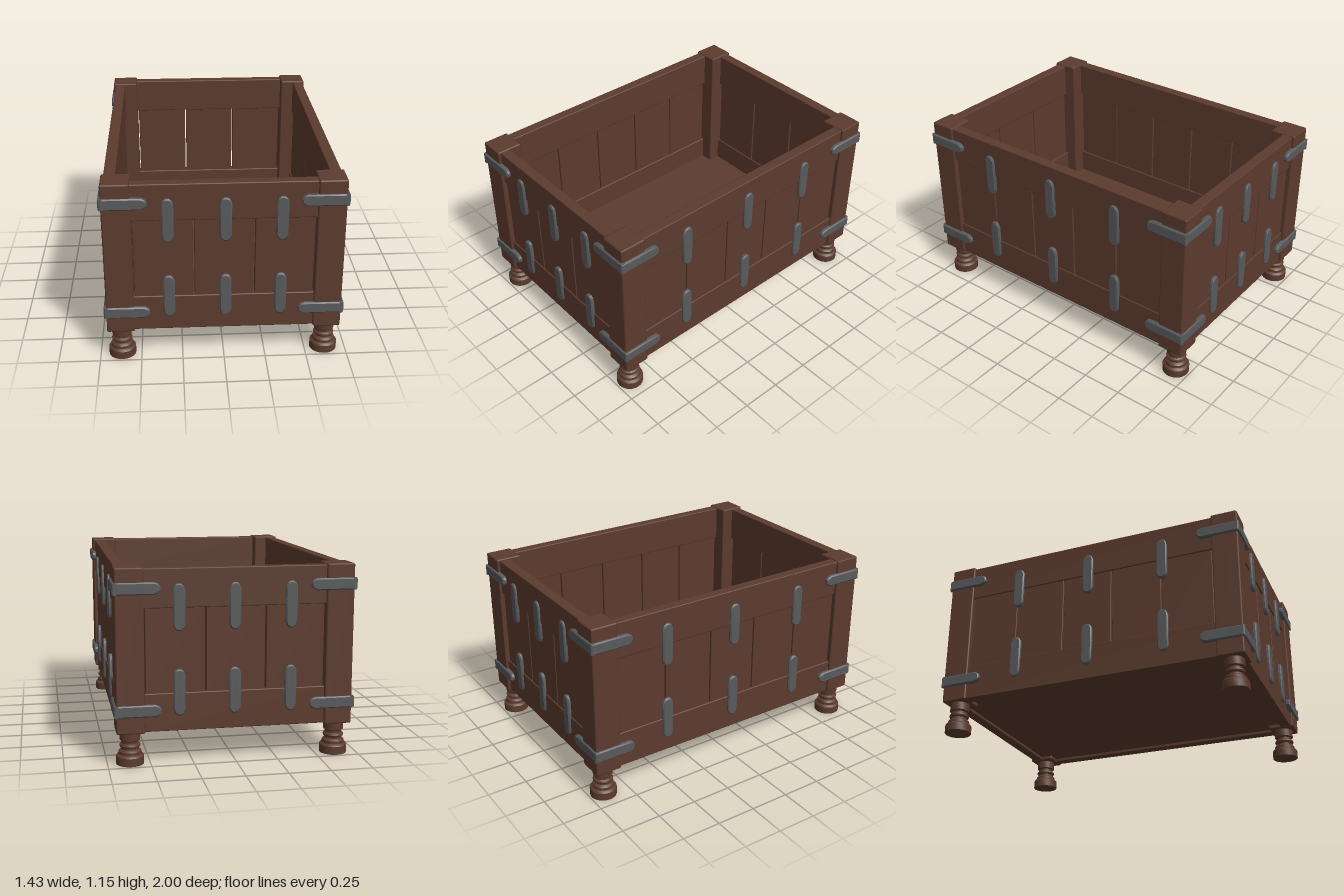
import * as THREE from 'three';
import { toCreasedNormals } from 'three/addons/utils/BufferGeometryUtils.js';
import { RoundedBoxGeometry } from 'three/addons/geometries/RoundedBoxGeometry.js';

const wood = new THREE.MeshStandardMaterial({ color: 0x5c3b2e });
wood.name = 'brown wood';
const iron = new THREE.MeshStandardMaterial({ color: 0x595a5c });
iron.name = 'grey iron';

// Softly bevelled timber given by its centre and size
function timber(parent, name, [x, y, z], [w, h, d], bevel = 0.006) {
  const mesh = new THREE.Mesh(new RoundedBoxGeometry(w, h, d, 1, bevel), wood);
  mesh.name = name;
  mesh.position.set(x, y, z);
  parent.add(mesh);
}

// Iron strap lying along x from 0 to length, facing +z, with chamfered ends
function strapGeometry(length, width, depth, squareStart) {
  const b = 0.007, h = width / 2 - b, x0 = squareStart ? 0 : b, x1 = length - b;
  const end = (x, s) => [[x - s * 0.028, -s * h], [x - s * 0.009, -s * h * 0.72], [x, -s * h * 0.3],
    [x, s * h * 0.3], [x - s * 0.009, s * h * 0.72], [x - s * 0.028, s * h]];
  const start = squareStart ? [[b, h], [b, -h]] : end(x0, -1);
  const points = [...end(x1, 1), ...start].map(([x, y]) => new THREE.Vector2(x, y));
  const geometry = new THREE.ExtrudeGeometry(new THREE.Shape(points), {
    depth: depth - b, bevelEnabled: true, bevelSize: b, bevelThickness: b, bevelSegments: 1,
  });
  return toCreasedNormals(geometry, 0.5);
}

// One wall facing +z: two rails, planks between them and their straps
function makeWall(name, { face, half, planks, strapX, corner, tip }) {
  const wall = new THREE.Group();
  wall.name = name;
  const span = half * 2 + 0.02;
  timber(wall, 'topRail', [0, 1.034, face - 0.034], [span, 0.227, 0.068]);
  timber(wall, 'bottomRail', [0, 0.313, face - 0.034], [span, 0.226, 0.068]);

  const pitch = (half * 2) / planks;
  for (let i = 0; i < planks; i++) {
    const x = -half + pitch * (i + 0.5);
    timber(wall, 'plank', [x, 0.673, face - 0.033], [pitch - 0.008, 0.52, 0.05], 0.004);
  }

  const upright = strapGeometry(0.272, 0.07, 0.02, false);
  for (const x of strapX) {
    for (const y of [0.293, 0.788]) {
      const strap = new THREE.Mesh(upright, iron);
      strap.name = 'uprightStrap';
      strap.rotation.z = Math.PI / 2;
      strap.position.set(x, y, face - 0.005);
      wall.add(strap);
    }
  }

  // Arms of the corner straps, starting square at the corner
  const arm = strapGeometry(corner - tip, 0.07, 0.024, true);
  for (const side of [-1, 1]) {
    for (const y of [0.33, 1.037]) {
      const strap = new THREE.Mesh(arm, iron);
      strap.name = 'cornerStrap';
      // A half turn about z points the arm inward from the +x corner
      strap.rotation.z = side > 0 ? Math.PI : 0;
      strap.position.set(side * corner, y, face + 0.004);
      wall.add(strap);
    }
  }
  return wall;
}

export function createModel() {
  const crate = new THREE.Group();
  crate.name = 'woodenCrate';

  // Turned foot profile, radius then height
  const profile = [
    [0, 0], [0.082, 0], [0.082, 0.048], [0.076, 0.056], [0.066, 0.061], [0.066, 0.078],
    [0.058, 0.086], [0.05, 0.09], [0.05, 0.099], [0.059, 0.104], [0.062, 0.112],
    [0.059, 0.12], [0.05, 0.126], [0.05, 0.138], [0.06, 0.146], [0.06, 0.205], [0, 0.205],
  ].map(([r, y]) => new THREE.Vector2(r, y));
  const footGeometry = toCreasedNormals(new THREE.LatheGeometry(profile, 24), 0.6);

  // Corner posts and feet
  for (const sx of [-1, 1]) {
    for (const sz of [-1, 1]) {
      timber(crate, 'cornerPost', [sx * 0.617, 0.675, sz * 0.907], [0.166, 0.96, 0.166], 0.009);
      const foot = new THREE.Mesh(footGeometry, wood);
      foot.name = 'foot';
      foot.position.set(sx * 0.617, 0, sz * 0.907);
      crate.add(foot);
    }
  }

  // Short walls front and back, long walls left and right
  const short = { face: 0.972, half: 0.531, planks: 3, strapX: [-0.325, 0.008, 0.333], corner: 0.71, tip: 0.44 };
  const long = { face: 0.686, half: 0.822, planks: 5, strapX: [-0.5, -0.005, 0.485], corner: 1.0, tip: 0.73 };
  const front = makeWall('frontWall', short);
  const mirrored = { ...short, strapX: short.strapX.map((x) => -x) };
  const back = makeWall('backWall', mirrored);
  back.rotation.y = Math.PI;
  const right = makeWall('leftWall', long);
  right.rotation.y = Math.PI / 2;
  const left = makeWall('rightWall', { ...long, strapX: long.strapX.map((x) => -x) });
  left.rotation.y = -Math.PI / 2;
  crate.add(front, back, right, left);

  // Floor panel set slightly above the lower edge of the rails
  timber(crate, 'floor', [0, 0.245, 0], [1.25, 0.05, 1.82], 0.004);
  return crate;
}
